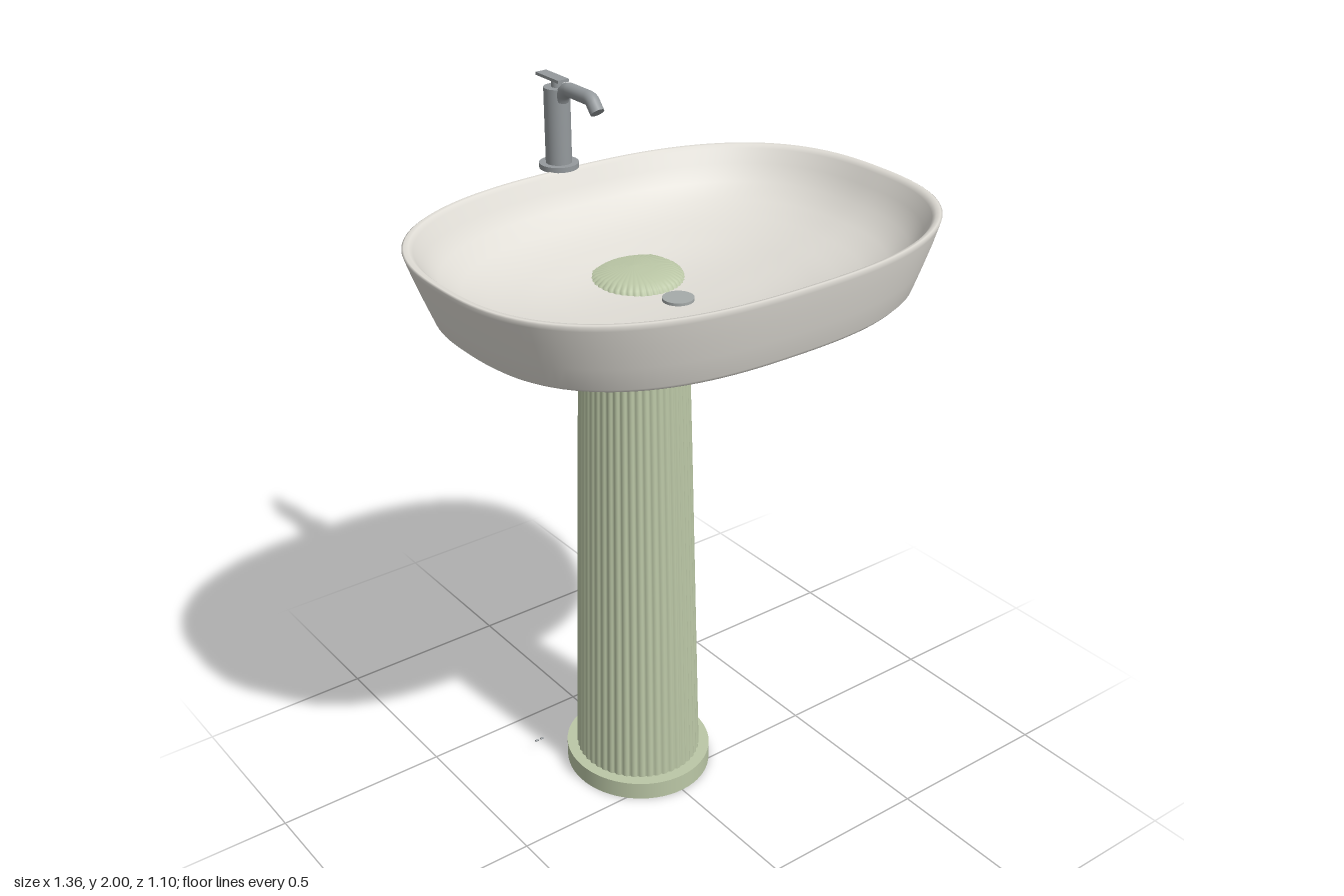
import * as THREE from 'three';

const material = (name, color) => {
  const m = new THREE.MeshStandardMaterial({ color });
  m.name = name;
  return m;
};

// Closed skin through rows [radiusX, y, radiusZ, centreZ]; k(t) shapes the outline.
function loft(rows, segments, k) {
  const pos = [], index = [];
  rows.forEach(([rx, y, rz, cz]) => {
    for (let j = 0; j < segments; j++) {
      const t = (j / segments) * Math.PI * 2, f = k(t);
      pos.push(rx * f * Math.cos(t), y, cz + rz * f * Math.sin(t));
    }
  });
  for (let i = 0; i < rows.length - 1; i++) {
    for (let j = 0; j < segments; j++) {
      const n = (j + 1) % segments;
      const a = i * segments + j, b = i * segments + n;
      const c = a + segments, d = b + segments;
      index.push(a, c, b, b, c, d);
    }
  }
  const g = new THREE.BufferGeometry();
  g.setAttribute('position', new THREE.Float32BufferAttribute(pos, 3));
  g.setIndex(index);
  g.computeVertexNormals();
  return g;
}

export function createModel() {
  const ceramic = material('basin ceramic', 0xe0ddd6);
  const green = material('sage pedestal', 0xbbc7a6);
  const metal = material('tap metal', 0x959a9d);
  const drainMetal = material('drain metal', 0xa6abaa);

  const model = new THREE.Group();
  model.name = 'pedestalBasin';
  const add = (parent, name, geometry, mat, x = 0, y = 0, z = 0) => {
    const mesh = new THREE.Mesh(geometry, mat);
    mesh.name = name;
    mesh.position.set(x, y, z);
    parent.add(mesh);
    return mesh;
  };

  // Basin: rounded-rectangle outline, underside, thin rim and hollow bowl
  const RX = 0.68, RZ = 0.502, CZ = 0.042;
  const N = 2.55;
  const outline = t =>
    Math.pow(Math.abs(Math.cos(t)) ** N + Math.abs(Math.sin(t)) ** N, -1 / N);
  const outer = [
    [0, 1.54, 0], [0.35, 1.54, 0.25], [0.49, 1.54, 0.36], [0.545, 1.554, 0.41],
    [0.6, 1.57, 0.452], [0.613, 1.58, 0.46], [0.637, 1.64, 0.476],
    [0.66, 1.7, 0.491], [0.676, 1.745, 0.5], [RX, 1.757, RZ], [0.675, 1.76, 0.498],
  ].map(([x, y, z]) => [x, y, z, CZ]);
  const bowl = [
    [0.975, 1.759], [0.96, 1.75], [0.93, 1.715], [0.88, 1.672], [0.8, 1.636],
    [0.7, 1.61], [0.6, 1.594], [0.52, 1.582], [0.43, 1.569], [0.3, 1.559],
    [0.15, 1.555], [0, 1.554],
  ].map(([s, y]) => [RX * s, y, RZ * s, CZ]);
  add(model, 'basin', loft([...outer, ...bowl], 128, outline), ceramic);

  // Drain disc on the bowl floor
  add(model, 'drain', new THREE.CylinderGeometry(0.041, 0.041, 0.008, 40), drainMetal, 0, 1.558, CZ);

  // Fluted tapering column with a softly domed top
  const PZ = -0.15, FLUTES = 48;
  const flutes = t => 0.972 + 0.028 * Math.abs(Math.sin((t * FLUTES) / 2));
  const column = [
    [0.18, 0.05, 0.188], [0.167, 0.55, 0.175], [0.154, 1.05, 0.162], [0.141, 1.53, 0.148],
    [0.137, 1.55, 0.142], [0.127, 1.566, 0.13], [0.105, 1.577, 0.108],
    [0.06, 1.583, 0.062], [0, 1.585, 0],
  ].map(([x, y, z]) => [x, y, z, PZ]);
  add(model, 'flutedColumn', loft(column, FLUTES * 6, flutes), green);

  // Plinth
  const plinth = add(model, 'plinth', new THREE.CylinderGeometry(1, 1, 0.054, 64), green, 0, 0.027, PZ);
  plinth.scale.set(0.209, 1, 0.22);

  // Tap: flange, body, bent spout, lever
  const tap = new THREE.Group();
  tap.name = 'tap';
  tap.position.z = -0.481;
  model.add(tap);
  add(tap, 'flange', new THREE.CylinderGeometry(0.053, 0.053, 0.014, 40), metal, 0, 1.765, 0);
  add(tap, 'body', new THREE.CylinderGeometry(0.035, 0.035, 0.207, 40), metal, 0, 1.8715, 0);
  add(tap, 'leverNeck', new THREE.CylinderGeometry(0.014, 0.014, 0.02, 24), metal, 0, 1.983, 0);
  add(tap, 'lever', new THREE.BoxGeometry(0.034, 0.008, 0.105), metal, 0, 1.996, -0.02);
  const P = (y, z) => new THREE.Vector3(0, y, z);
  const spoutPath = new THREE.CurvePath();
  spoutPath.add(new THREE.QuadraticBezierCurve3(P(1.945, 0.022), P(1.976, 0.034), P(1.98, 0.06)));
  spoutPath.add(new THREE.LineCurve3(P(1.98, 0.06), P(1.98, 0.145)));
  spoutPath.add(new THREE.QuadraticBezierCurve3(P(1.98, 0.145), P(1.98, 0.162), P(1.968, 0.168)));
  spoutPath.add(new THREE.LineCurve3(P(1.968, 0.168), P(1.95, 0.184)));
  add(tap, 'spout', new THREE.TubeGeometry(spoutPath, 40, 0.019, 24), metal);
  // Outlet disc closes the spout tip
  const outlet = add(tap, 'outlet', new THREE.CircleGeometry(0.019, 24), metal, 0, 1.95, 0.184);
  outlet.lookAt(0, 1.932, tap.position.z + 0.2);
  outlet.rotation.set(Math.atan2(0.018, 0.016), 0, 0);

  // Tiny floor pins beside the plinth
  for (const x of [-0.234, -0.216]) {
    const pin = add(model, 'floorPin', new THREE.CylinderGeometry(0.003, 0.003, 0.01, 8), metal, x, 0.03, -0.35);
    pin.rotation.z = Math.PI / 2;
  }
  return model;
}
